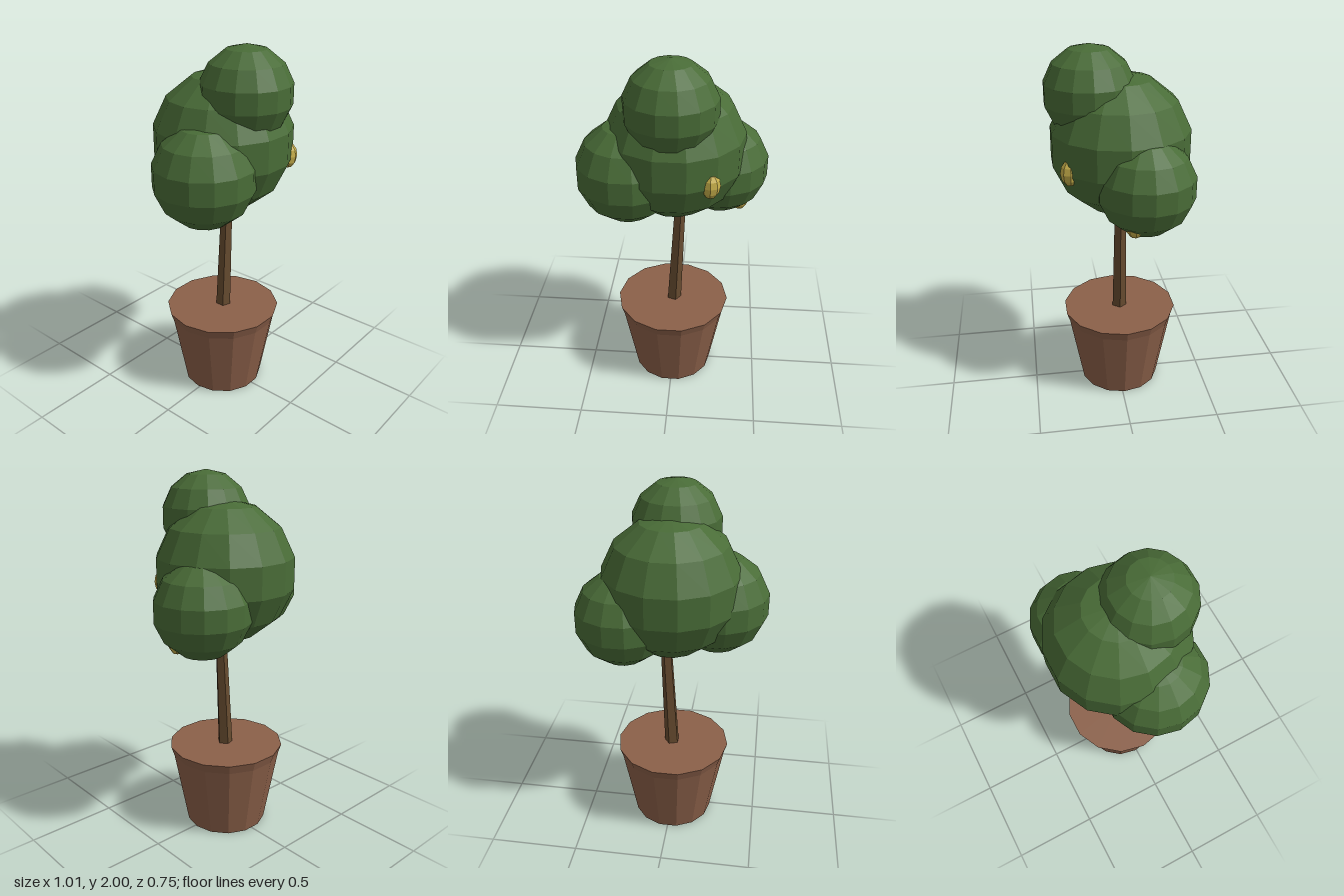
import * as THREE from 'three';

const flat = (name, color) => {
  const m = new THREE.MeshStandardMaterial({ color, flatShading: true });
  m.name = name;
  return m;
};

export function createModel() {
  const tree = new THREE.Group();
  tree.name = 'pottedTree';
  const terracotta = flat('terracotta', 0x8b6049);
  const bark = flat('bark', 0x674c30);
  const leaf = flat('leafGreen', 0x496c37);
  const yellow = flat('fruitYellow', 0xc6ae4a);

  const add = (name, geometry, material, x, y, z) => {
    const mesh = new THREE.Mesh(geometry, material);
    mesh.name = name;
    mesh.position.set(x, y, z);
    tree.add(mesh);
    return mesh;
  };

  // Tapered pot with a slightly flared rim, closed at top and bottom
  const profile = [[0, 0], [0.228, 0], [0.306, 0.425], [0.323, 0.477], [0, 0.477]];
  const pot = new THREE.LatheGeometry(profile.map(([r, y]) => new THREE.Vector2(r, y)), 14);
  pot.rotateY(Math.PI / 2);
  add('pot', pot, terracotta, -0.002, 0, -0.012);

  // Five-sided trunk, sheared so it leans to +x
  const trunk = new THREE.CylinderGeometry(0.029, 0.043, 0.86, 5);
  trunk.rotateY(Math.PI / 2).translate(0, 0.43, 0);
  const p = trunk.attributes.position;
  for (let i = 0; i < p.count; i++) p.setX(i, p.getX(i) + 0.05 * p.getY(i));
  add('trunk', trunk, bark, 0.002, 0.45, -0.011);

  // Foliage balls: name, radius, centre
  const foliage = [
    ['mainFoliage', 0.38, 0.007, 1.48, -0.014],
    ['topFoliage', 0.243, 0, 1.757, 0.142],
    ['rightFoliage', 0.277, -0.235, 1.367, 0.067],
    ['leftFoliage', 0.26, 0.25, 1.33, -0.113],
  ];
  for (const [name, r, x, y, z] of foliage) {
    add(name, new THREE.SphereGeometry(r, 14, 7), leaf, x, y, z);
  }

  // Oval fruits half sunk into the leaves
  for (const [x, y, z] of [[0.205, 1.405, 0.268], [0.36, 1.167, -0.038]]) {
    add('fruit', new THREE.SphereGeometry(0.05, 8, 6), yellow, x, y, z).scale.y = 1.4;
  }
  return tree;
}
